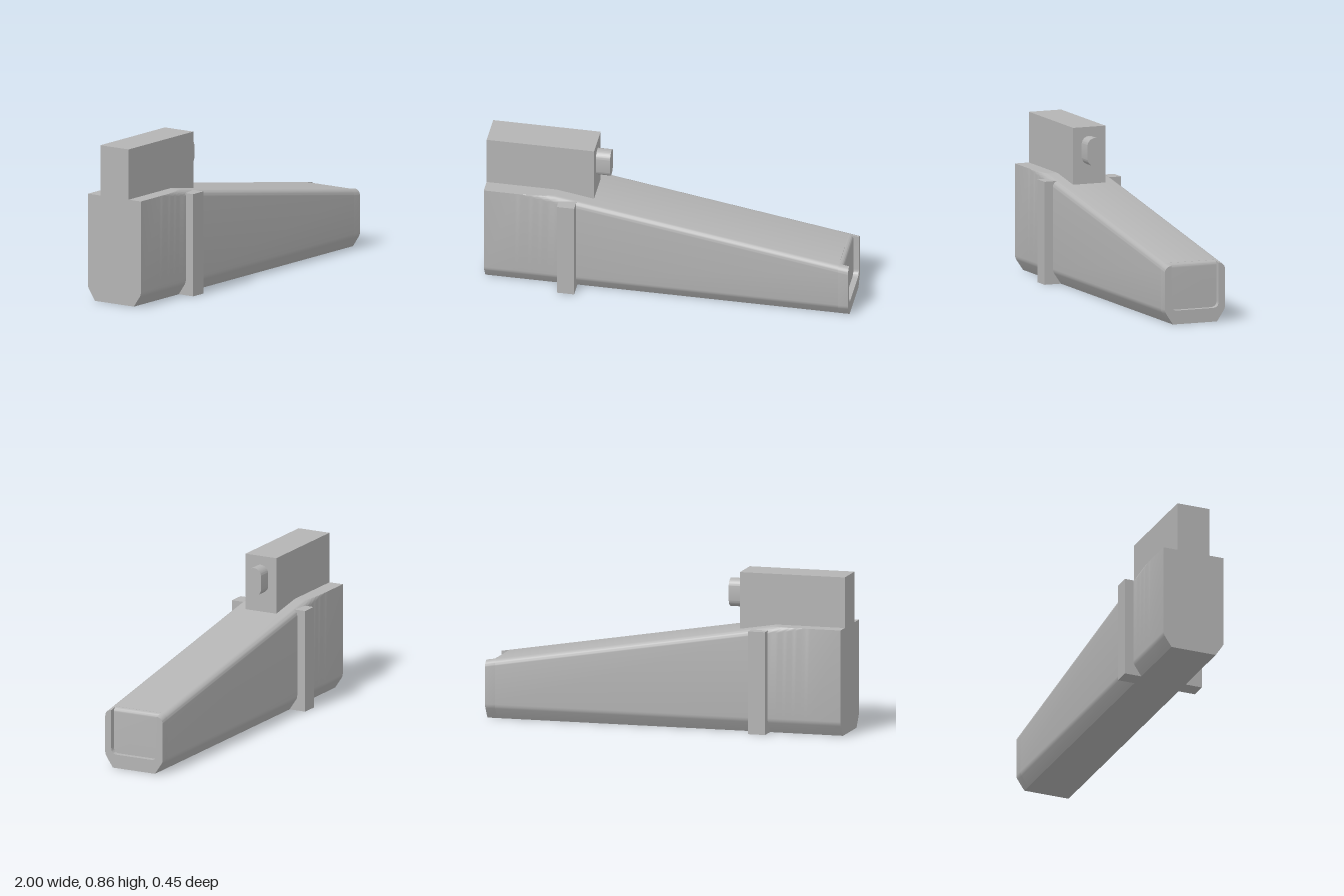
import * as THREE from 'three';
import { toCreasedNormals } from 'three/addons/utils/BufferGeometryUtils.js';

const HALF_W = 0.177, FILLET = 0.035, FLAT_TOP = 0.585, SLOPE = 0.164, TIP_TOP = 0.32;
const slopeTop = x => TIP_TOP + SLOPE * (1 - x);

// Half cross-section (z, y) at x, from the bottom up to the start of the flat top
function halfSection(x) {
  const pts = [[0.13, 0], [0.169, 0.058], [0.1752, 0.07], [HALF_W, 0.083]];
  for (let i = 0; i <= 8; i++) {
    const a = (i / 8) * Math.PI / 2;
    const y = slopeTop(x) - FILLET + FILLET * Math.sin(a);
    pts.push([HALF_W - FILLET + FILLET * Math.cos(a), Math.min(FLAT_TOP, y)]);
  }
  return pts;
}

// Closed skin through cross-sections placed along x
function bodyGeometry(xs) {
  const rings = xs.map(x => {
    const half = halfSection(x);
    const mirrored = half.map(([z, y]) => [-z, y]).reverse();
    return [...half, ...mirrored].map(([z, y]) => [x, y, z]);
  });
  const n = rings[0].length, pos = [];
  const tri = (a, b, c) => pos.push(...a, ...b, ...c);
  for (let i = 0; i < rings.length - 1; i++) {
    for (let j = 0; j < n; j++) {
      const k = (j + 1) % n, A = rings[i], B = rings[i + 1];
      tri(A[j], B[j], B[k]);
      tri(A[j], B[k], A[k]);
    }
  }
  const first = rings[0], last = rings[rings.length - 1];
  for (let k = 1; k < n - 1; k++) {
    tri(first[0], first[k], first[k + 1]);
    tri(last[0], last[k + 1], last[k]);
  }
  const g = new THREE.BufferGeometry();
  g.setAttribute('position', new THREE.Float32BufferAttribute(pos, 3));
  return toCreasedNormals(g, 0.5);
}

// U-shaped lip around the recess at the narrow end
function rimGeometry(x0) {
  const half = halfSection(1), s = new THREE.Shape();
  s.moveTo(...half[0]);
  half.slice(1).forEach(p => s.lineTo(...p));
  s.lineTo(0.14, TIP_TOP);
  s.lineTo(0.14, 0.11);
  s.quadraticCurveTo(0.14, 0.075, 0.105, 0.075);
  s.lineTo(-0.105, 0.075);
  s.quadraticCurveTo(-0.14, 0.075, -0.14, 0.11);
  s.lineTo(-0.14, TIP_TOP);
  half.slice().reverse().forEach(([z, y]) => s.lineTo(-z, y));
  const g = new THREE.ExtrudeGeometry(s, { depth: 1 - x0, bevelEnabled: false, curveSegments: 8 });
  g.rotateY(Math.PI / 2).translate(x0, 0, 0);
  // follow the sloping top
  const p = g.attributes.position;
  for (let i = 0; i < p.count; i++) {
    if (p.getY(i) > 0.2) p.setY(i, p.getY(i) + SLOPE * (1 - p.getX(i)));
  }
  return toCreasedNormals(g, 0.5);
}

export function createModel() {
  const group = new THREE.Group();
  const grey = new THREE.MeshStandardMaterial({ color: 0xb4b4b4 });
  grey.name = 'plain grey';
  const add = (name, geometry, x = 0, y = 0, z = 0) => {
    const m = new THREE.Mesh(geometry, grey);
    m.name = name;
    m.position.set(x, y, z);
    group.add(m);
  };

  // Tapered body; its corner rounding fades out into the flat rear top
  const rimStart = 0.945;
  const xs = [-1];
  for (let i = 0; i <= 12; i++) xs.push(-0.83 + i * 0.0178);
  xs.push(-0.59, rimStart);
  add('taperedBody', bodyGeometry(xs));
  add('recessRim', rimGeometry(rimStart));

  // Recess back wall with a rounded upper edge
  const wall = new THREE.Shape();
  const top = slopeTop(0.97);
  wall.moveTo(0.94, 0.05);
  wall.lineTo(0.97, 0.05);
  wall.lineTo(0.97, top - 0.022);
  wall.quadraticCurveTo(0.97, top, 0.948, slopeTop(0.948));
  wall.lineTo(0.94, slopeTop(0.948));
  const wallGeo = new THREE.ExtrudeGeometry(wall, { depth: 0.28, bevelEnabled: false, curveSegments: 8 });
  add('recessWall', toCreasedNormals(wallGeo, 0.5), 0, 0, -0.14);

  // Side ribs
  for (const side of [1, -1]) {
    add(side > 0 ? 'frontRib' : 'backRib',
      new THREE.BoxGeometry(0.095, 0.563, 0.105), -0.5425, 0.2815, side * 0.1735);
  }

  // Upper block
  add('upperBlock', new THREE.BoxGeometry(0.59, 0.312, 0.19), -0.705, 0.706, 0);

  // Oblong knob on the block's end
  const r = 0.045, h = 0.0325;
  const oblong = new THREE.Shape();
  oblong.absarc(0, h, r, 0, Math.PI, false);
  oblong.absarc(0, -h, r, Math.PI, Math.PI * 2, false);
  oblong.closePath();
  const knob = new THREE.ExtrudeGeometry(oblong, { depth: 0.085, bevelEnabled: false, curveSegments: 20 });
  knob.rotateY(Math.PI / 2);
  add('knob', toCreasedNormals(knob, 0.5), -0.417, 0.735, 0);

  return group;
}
